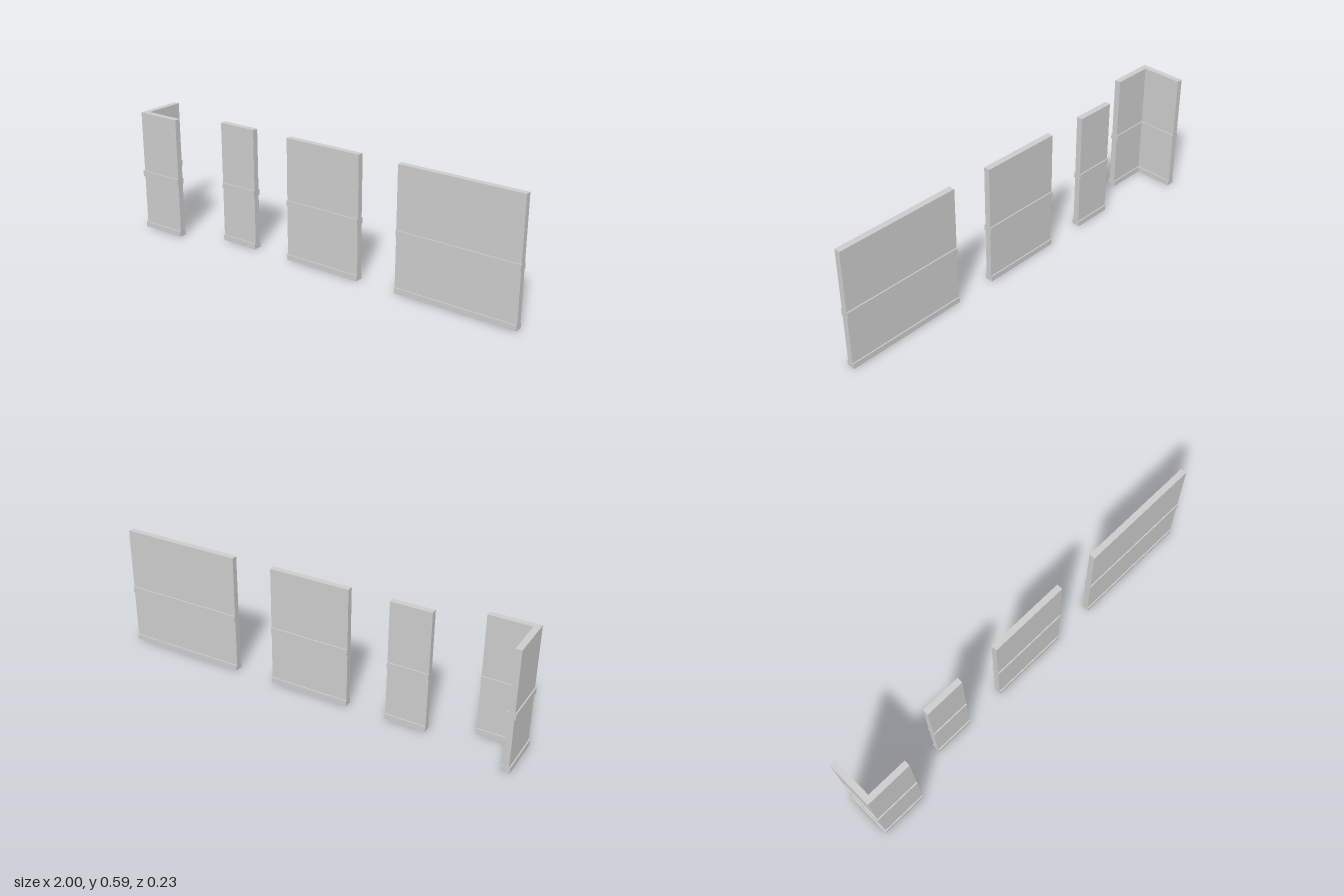
import * as THREE from 'three';

const HALF = 0.0145;      // half thickness of a wall
const RAIL = 0.0055;      // how far the rails stand proud
const WALL_Z = -0.0055;   // centre line of the straight walls

// Horizontal layers from the floor up: name, bottom, top, extra half thickness
const LAYERS = [
  ['baseRail', 0, 0.027, RAIL],
  ['lowerPanel', 0.027, 0.266, 0],
  ['middleRail', 0.266, 0.295, RAIL],
  ['upperPanel', 0.295, 0.591, 0],
];

const material = new THREE.MeshStandardMaterial({ color: 0xcccccc, flatShading: true });

// Plan outline of a straight wall, as [x, z] corners
const straightPlan = (x0, x1) => (t) => [
  [x0, WALL_Z + t], [x1, WALL_Z + t], [x1, WALL_Z - t], [x0, WALL_Z - t],
];

// Plan outline of the L-shaped corner; (cx, cz) is where the centre lines meet
const cornerPlan = (cx, cz, endX, endZ) => (t) => [
  [cx - t, cz + t], [endX, cz + t], [endX, cz - t],
  [cx + t, cz - t], [cx + t, endZ], [cx - t, endZ],
];

// Stacks the layers of one wall on top of each other
function buildWall(name, plan) {
  const wall = new THREE.Group();
  wall.name = name;
  for (const [part, bottom, top, extra] of LAYERS) {
    const outline = plan(HALF + extra).map(([x, z]) => new THREE.Vector2(x, -z));
    const geometry = new THREE.ExtrudeGeometry(new THREE.Shape(outline), {
      depth: top - bottom, bevelEnabled: false,
    });
    geometry.rotateX(-Math.PI / 2).translate(0, bottom, 0);
    const mesh = new THREE.Mesh(geometry, material);
    mesh.name = part;
    wall.add(mesh);
  }
  return wall;
}

export function createModel() {
  const model = new THREE.Group();
  model.name = 'wallSet';
  model.add(
    buildWall('cornerWall', cornerPlan(-0.98, 0.0965, -0.769, -0.115)),
    buildWall('narrowWall', straightPlan(-0.573, -0.377)),
    buildWall('mediumWall', straightPlan(-0.181, 0.212)),
    buildWall('wideWall', straightPlan(0.411, 1)),
  );
  return model;
}
